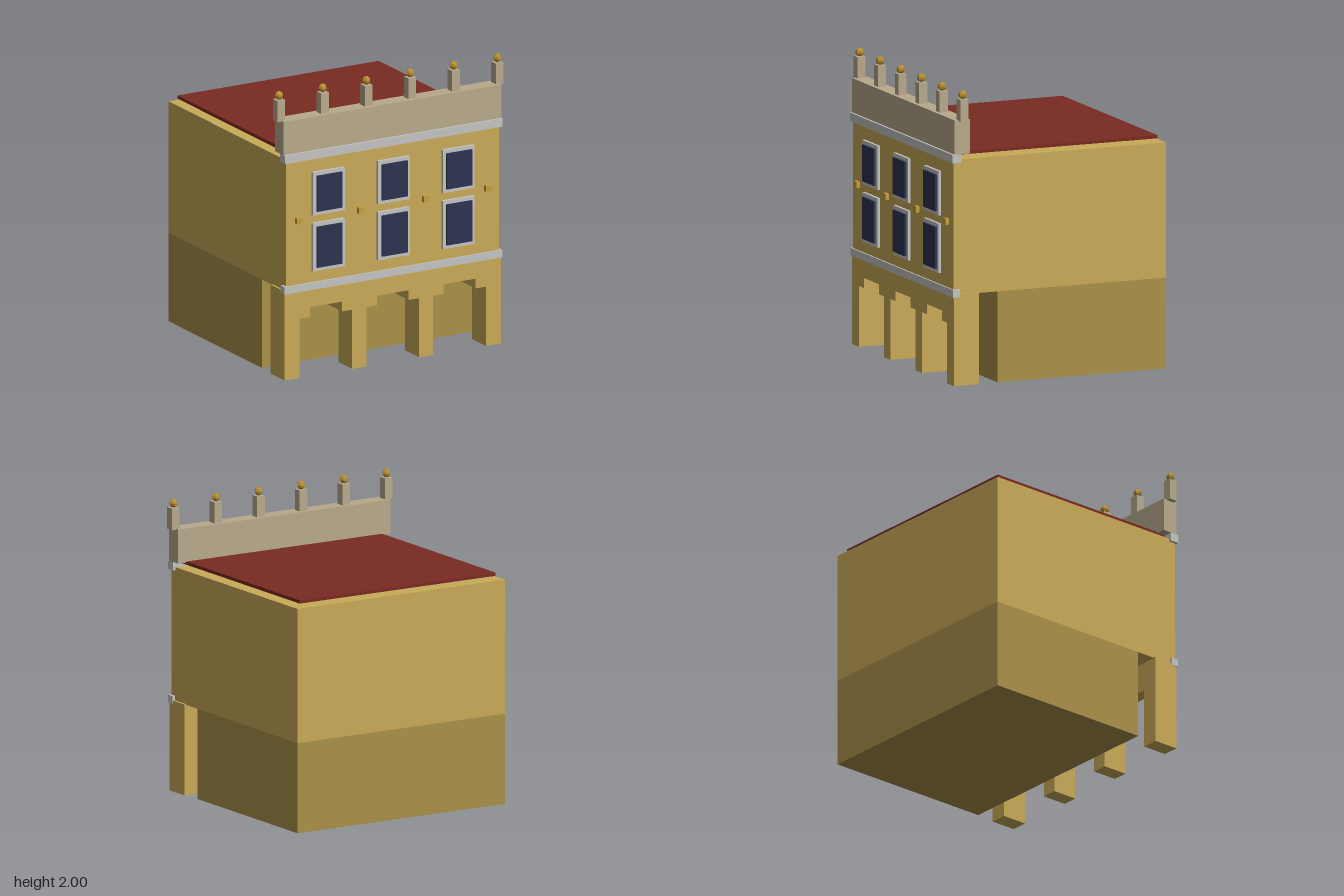
import * as THREE from 'three';

const mat = (name, color) => {
  const m = new THREE.MeshStandardMaterial({ color });
  m.name = name;
  return m;
};

export function createModel() {
  const wall = mat('ochre wall', 0xc9aa58);
  const base = mat('dark ochre base', 0xaa9049);
  const stone = mat('tan stone', 0xb8a98c);
  const trim = mat('pale grey trim', 0xc4c4c2);
  const glass = mat('dark blue glass', 0x2d3350);
  const roof = mat('red roof', 0x7a2a22);
  const brass = mat('brass', 0xb8902e);
  const bracketGold = mat('bracket gold', 0xc69f3c);
  brass.flatShading = true;

  const model = new THREE.Group();
  model.name = 'townhouse';

  // Box given by its limits on each axis
  const box = (name, m, [x0, x1], [y0, y1], [z0, z1]) => {
    const mesh = new THREE.Mesh(new THREE.BoxGeometry(x1 - x0, y1 - y0, z1 - z0), m);
    mesh.position.set((x0 + x1) / 2, (y0 + y1) / 2, (z0 + z1) / 2);
    mesh.name = name;
    model.add(mesh);
  };

  // Main volumes: recessed ground floor, upper floors, floating roof slab
  box('groundFloor', base, [-0.82, 0.82], [0, 0.615], [-0.79, 0.44]);
  box('upperFloors', wall, [-0.82, 0.82], [0.615, 1.53], [-0.79, 0.76]);
  box('roofSlab', roof, [-0.775, 0.775], [1.553, 1.575], [-0.747, 0.74]);

  // Arcade front with three stepped openings reaching the ground
  const outline = new THREE.Shape();
  outline.moveTo(-0.835, 0);
  for (const x of [-0.515, 0, 0.515]) {
    outline.lineTo(x - 0.203, 0);
    outline.lineTo(x - 0.203, 0.412);
    outline.lineTo(x - 0.123, 0.412);
    outline.lineTo(x - 0.123, 0.48);
    outline.lineTo(x + 0.123, 0.48);
    outline.lineTo(x + 0.123, 0.412);
    outline.lineTo(x + 0.203, 0.412);
    outline.lineTo(x + 0.203, 0);
  }
  outline.lineTo(0.835, 0);
  outline.lineTo(0.835, 0.62);
  outline.lineTo(-0.835, 0.62);
  const arcade = new THREE.Mesh(
    new THREE.ExtrudeGeometry(outline, { depth: 0.182, bevelEnabled: false }), wall);
  arcade.position.z = 0.58;
  arcade.name = 'arcade';
  model.add(arcade);

  // Horizontal bands and parapet
  box('stringCourse', trim, [-0.84, 0.84], [0.6, 0.652], [0.72, 0.771]);
  box('cornice', trim, [-0.84, 0.84], [1.51, 1.568], [0.71, 0.775]);
  box('parapet', stone, [-0.84, 0.84], [1.568, 1.8], [0.648, 0.76]);

  // Two rows of framed windows
  for (const x of [-0.502, 0, 0.498]) {
    for (const [y0, y1] of [[0.73, 1.065], [1.12, 1.42]]) {
      box('windowFrame', trim, [x - 0.122, x + 0.122], [y0, y1], [0.755, 0.78]);
      box('windowPane', glass, [x - 0.097, x + 0.097], [y0 + 0.026, y1 - 0.026], [0.786, 0.795]);
      box('windowPaneBack', glass, [x - 0.097, x + 0.097], [y0 + 0.026, y1 - 0.026], [0.778, 0.786]);
    }
  }

  // Small wall brackets
  for (const x of [-0.73, -0.254, 0.248, 0.726]) {
    box('wallBracket', bracketGold, [x - 0.021, x + 0.021], [1.079, 1.121], [0.75, 0.786]);
  }

  // Parapet posts topped by faceted balls
  for (let i = 0; i < 6; i++) {
    const x = -0.842 + i * 0.3368;
    box('parapetPost', stone, [x - 0.03, x + 0.03], [1.795, 1.943], [0.673, 0.733]);
    const ball = new THREE.Mesh(new THREE.SphereGeometry(0.029, 6, 6), brass);
    ball.position.set(x, 1.971, 0.703);
    ball.name = 'finialBall';
    model.add(ball);
  }

  return model;
}
